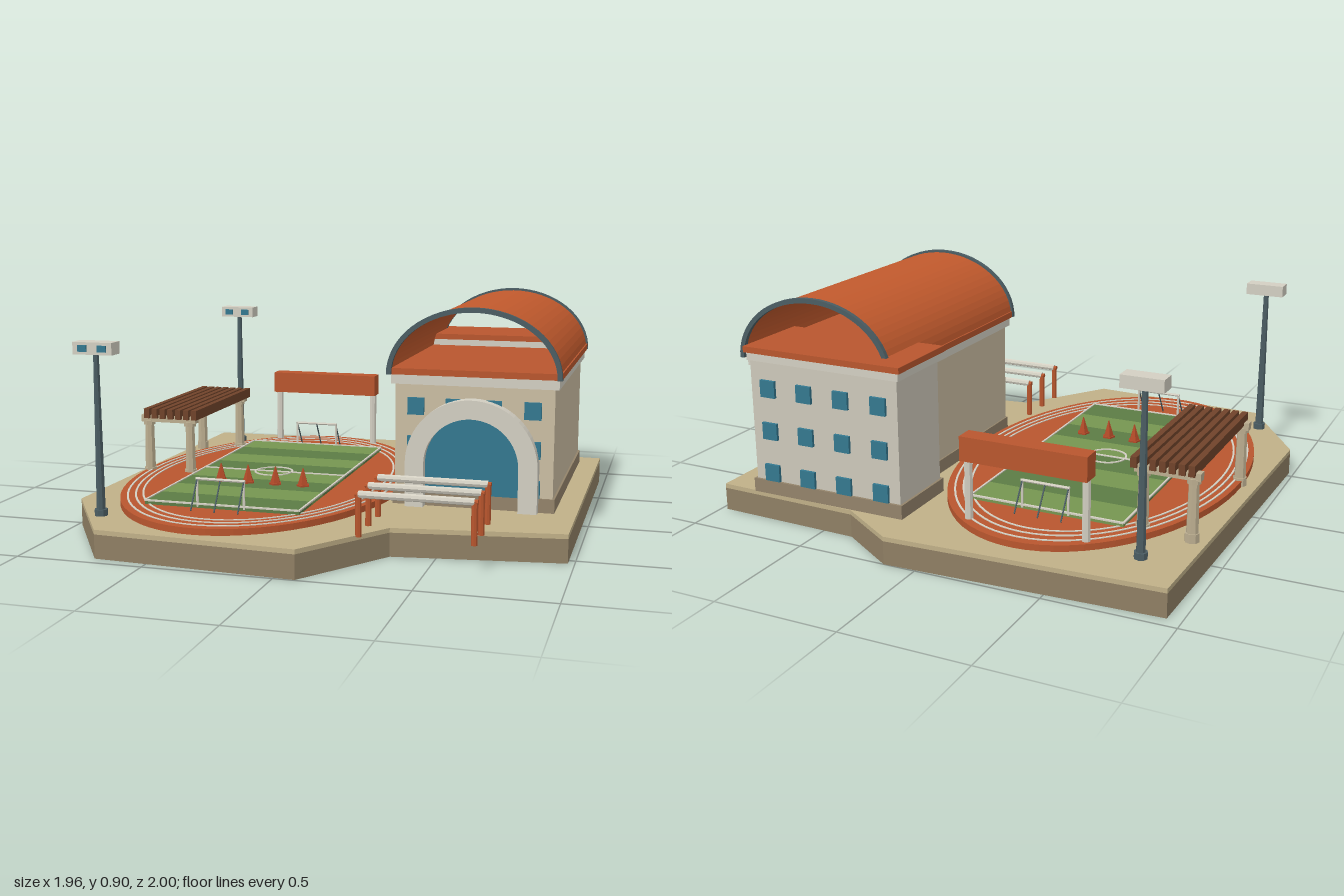
import * as THREE from 'three';

const C = {
  soil: 0x8f7f64, sand: 0xc0b088, orange: 0xb9562e, roof: 0xc25a2d, white: 0xd3cfc2, tan: 0xcabda2,
  plinth: 0x93836a, pale: 0xcdc8ba, glass: 0x34788f, steel: 0x4b5d63, wood: 0x70432a,
  grassLight: 0x769550, grassDark: 0x5c7c45, cone: 0xb24a28, stone: 0xbcae90,
};
const mats = {};
const mat = (c) => (mats[c] ??= new THREE.MeshStandardMaterial({ color: C[c], flatShading: true }));

export function createModel() {
  const root = new THREE.Group();
  const add = (name, geo, color, x = 0, y = 0, z = 0) => {
    const m = new THREE.Mesh(geo, mat(color));
    m.name = name;
    m.position.set(x, y, z);
    root.add(m);
    return m;
  };
  // Box given by its limits on each axis
  const box = (name, color, x0, x1, y0, y1, z0, z1) =>
    add(name, new THREE.BoxGeometry(x1 - x0, y1 - y0, z1 - z0), color, (x0 + x1) / 2, (y0 + y1) / 2, (z0 + z1) / 2);
  const post = (name, color, x, z, y0, y1, r0, r1 = r0, n = 8) =>
    add(name, new THREE.CylinderGeometry(r1, r0, y1 - y0, n), color, x, (y0 + y1) / 2, z);
  // Round bar between two points
  const bar = (name, color, a, b, r, n = 6) => {
    const p = new THREE.Vector3(...a), q = new THREE.Vector3(...b);
    const m = add(name, new THREE.CylinderGeometry(r, r, p.distanceTo(q), n), color);
    m.position.copy(p).add(q).multiplyScalar(0.5);
    m.quaternion.setFromUnitVectors(new THREE.Vector3(0, 1, 0), q.sub(p).normalize());
    return m;
  };
  // Plan shape raised from y0 to y1
  const slab = (name, color, shape, y0, y1, x = 0, z = 0, curveSegments = 20) => {
    const g = new THREE.ExtrudeGeometry(shape, { depth: y1 - y0, bevelEnabled: false, curveSegments });
    return add(name, g.rotateX(-Math.PI / 2), color, x, y0, z);
  };
  const ellipse = (rx, rz, w = 0) => {
    const s = new THREE.Shape().absellipse(0, 0, rx, rz, 0, Math.PI * 2);
    if (w) s.holes.push(new THREE.Path().absellipse(0, 0, rx - w, rz - w, 0, Math.PI * 2, true));
    return s;
  };

  // Ground
  const outline = [[-0.945, -0.95], [0.13, -1], [0.37, -0.845], [0.975, -0.83], [0.975, 0.54],
    [0.33, 0.63], [0.08, 0.995], [-0.71, 0.95], [-0.98, 0.53]];
  const plot = new THREE.Shape(outline.map(([x, z]) => new THREE.Vector2(x, -z)));
  slab('groundBase', 'soil', plot, 0, 0.092);
  slab('groundTop', 'sand', plot, 0.092, 0.11);

  // Running track with lane lines
  const cx = -0.335, cz = 0.017;
  slab('track', 'orange', ellipse(0.575, 0.9), 0.11, 0.135, cx, cz, 36);
  for (const s of [0.96, 0.91, 0.865]) slab('laneLine', 'white', ellipse(0.575 * s, 0.9 * s, 0.008), 0.134, 0.138, cx, cz, 36);

  // Playing field
  const x0 = -0.65, x1 = -0.02, z0 = -0.6, z1 = 0.635, step = (z1 - z0) / 8;
  for (let i = 0; i < 8; i++)
    box('grassStripe', i % 2 ? 'grassDark' : 'grassLight', x0, x1, 0.13, 0.15, z0 + i * step, z0 + (i + 1) * step);
  for (const z of [z0, cz, z1]) box('fieldLine', 'white', x0, x1, 0.148, 0.154, z - 0.005, z + 0.005);
  for (const x of [x0, x1]) box('fieldLine', 'white', x - 0.004, x + 0.004, 0.148, 0.154, z0, z1);
  slab('centreCircle', 'white', ellipse(0.083, 0.083, 0.008), 0.149, 0.154, cx, cz, 24);

  // Goals with slanted stays
  for (const [z, d] of [[z0, -1], [z1, 1]]) {
    for (const x of [-0.095, 0, 0.095]) {
      if (x) post('goalPost', 'white', cx + x, z, 0.14, 0.25, 0.005, 0.005, 6);
      bar('goalStay', 'steel', [cx + x, 0.25, z], [cx + x, 0.14, z + d * 0.07], 0.003);
    }
    bar('goalCrossbar', 'white', [cx - 0.1, 0.25, z], [cx + 0.1, 0.25, z], 0.006);
  }

  // Training cones
  for (let i = 0; i < 4; i++) {
    const x = -0.488 + i * 0.119;
    post('coneFoot', 'cone', x, 0.24, 0.15, 0.157, 0.028, 0.028, 5);
    post('cone', 'cone', x, 0.24, 0.155, 0.225, 0.023, 0.002, 5);
  }

  // Exercise bars
  for (const z of [0.478, 0.618, 0.758]) {
    for (const x of [0.245, 0.668]) post('barPost', 'orange', x, z, 0.105, 0.265, 0.012);
    bar('barTip', 'orange', [0.233, 0.262, z], [0.68, 0.262, z], 0.01, 8);
    bar('exerciseBar', 'white', [0.245, 0.262, z], [0.668, 0.262, z], 0.014, 8);
  }

  // Floodlights
  for (const z of [-0.766, 0.75]) {
    post('floodlightFoot', 'steel', -0.78, z, 0.11, 0.135, 0.026);
    post('floodlightPole', 'steel', -0.78, z, 0.11, 0.74, 0.018, 0.011);
    box('floodlightHead', 'white', -0.86, -0.7, 0.733, 0.78, z - 0.036, z + 0.032);
    for (const x of [-0.82, -0.74]) box('floodlightLens', 'glass', x - 0.018, x + 0.018, 0.744, 0.769, z + 0.03, z + 0.037);
  }

  // Finish gate
  for (const x of [-0.573, -0.102]) post('gatePost', 'white', x, -0.767, 0.11, 0.38, 0.016);
  box('gateBanner', 'orange', -0.59, -0.085, 0.372, 0.467, -0.805, -0.73);

  // Pergola over the stand
  for (const z of [-0.555, 0.045]) {
    for (const x of [-0.897, -0.707]) {
      post('pergolaFoot', 'stone', x, z, 0.11, 0.145, 0.028);
      post('pergolaPost', 'stone', x, z, 0.11, 0.35, 0.024, 0.02);
      post('pergolaCapital', 'stone', x, z, 0.335, 0.355, 0.027);
    }
    box('pergolaBeam', 'stone', -0.927, -0.675, 0.348, 0.378, z - 0.018, z + 0.018);
  }
  for (let i = 0; i < 7; i++) {
    const x = -0.895 + i * 0.0365;
    box('pergolaSlat', 'wood', x - 0.012, x + 0.012, 0.366, 0.408, -0.585, 0.08);
  }

  // Rear wing
  box('wingPlinth', 'plinth', 0.145, 0.82, 0.11, 0.165, -0.84, -0.52);
  box('wingWalls', 'pale', 0.155, 0.81, 0.11, 0.655, -0.83, -0.53);
  box('wingCornice', 'white', 0.145, 0.82, 0.65, 0.682, -0.838, -0.522);
  box('wingRoof', 'orange', 0.135, 0.828, 0.682, 0.706, -0.847, -0.513);

  // Main hall
  box('hallPlinth', 'plinth', 0.25, 0.89, 0.11, 0.165, -0.73, 0.26);
  box('hallWalls', 'tan', 0.257, 0.882, 0.11, 0.6, -0.725, 0.252);
  box('hallCornice', 'white', 0.24, 0.898, 0.592, 0.63, -0.732, 0.262);
  box('hallRoofDeck', 'orange', 0.228, 0.908, 0.63, 0.655, -0.745, 0.272);

  // Window rows on both blocks
  const windowAt = (x, y, z) => box('window', 'glass', x - 0.033, x + 0.033, y - 0.034, y + 0.034, z - 0.008, z + 0.008);
  for (let r = 0; r < 3; r++) for (let c = 0; c < 4; c++) {
    const wx = 0.235 + c * 0.165;
    windowAt(wx, 0.2 + r * 0.172, -0.834);
    windowAt(wx, 0.2 + r * 0.172, -0.526);
    windowAt(0.34 + c * 0.153, 0.2 + r * 0.153, 0.254);
  }

  // Entrance arch and glazing
  const hx = 0.568;
  const archShape = (r, base, inner) => {
    const s = new THREE.Shape().moveTo(-r, base).lineTo(-r, 0.285).absarc(0, 0.285, r, Math.PI, 0, true).lineTo(r, base);
    if (inner) s.lineTo(inner, base).lineTo(inner, 0.285).absarc(0, 0.285, inner, 0, Math.PI, false).lineTo(-inner, base);
    return s;
  };
  const extrude = (shape, depth) => new THREE.ExtrudeGeometry(shape, { depth, bevelEnabled: false, curveSegments: 16 });
  add('entranceArch', extrude(archShape(0.26, 0.112, 0.186), 0.055), 'white', hx, 0, 0.25);
  add('entranceGlass', extrude(archShape(0.19, 0.165), 0.02), 'glass', hx, 0, 0.25);

  // Open barrel roof with dark rims
  const vault = (rx, ry, t) => new THREE.Shape().absellipse(0, 0, rx, ry, 0, Math.PI, false)
    .lineTo(-rx + t, 0).absellipse(0, 0, rx - t, ry - t, Math.PI, 0, true);
  add('barrelRoof', extrude(vault(0.336, 0.262, 0.01), 1.02), 'roof', hx, 0.628, -0.75);
  for (const z of [-0.762, 0.266]) add('roofRim', extrude(vault(0.343, 0.269, 0.019), 0.018), 'steel', hx, 0.63, z);

  return root;
}
